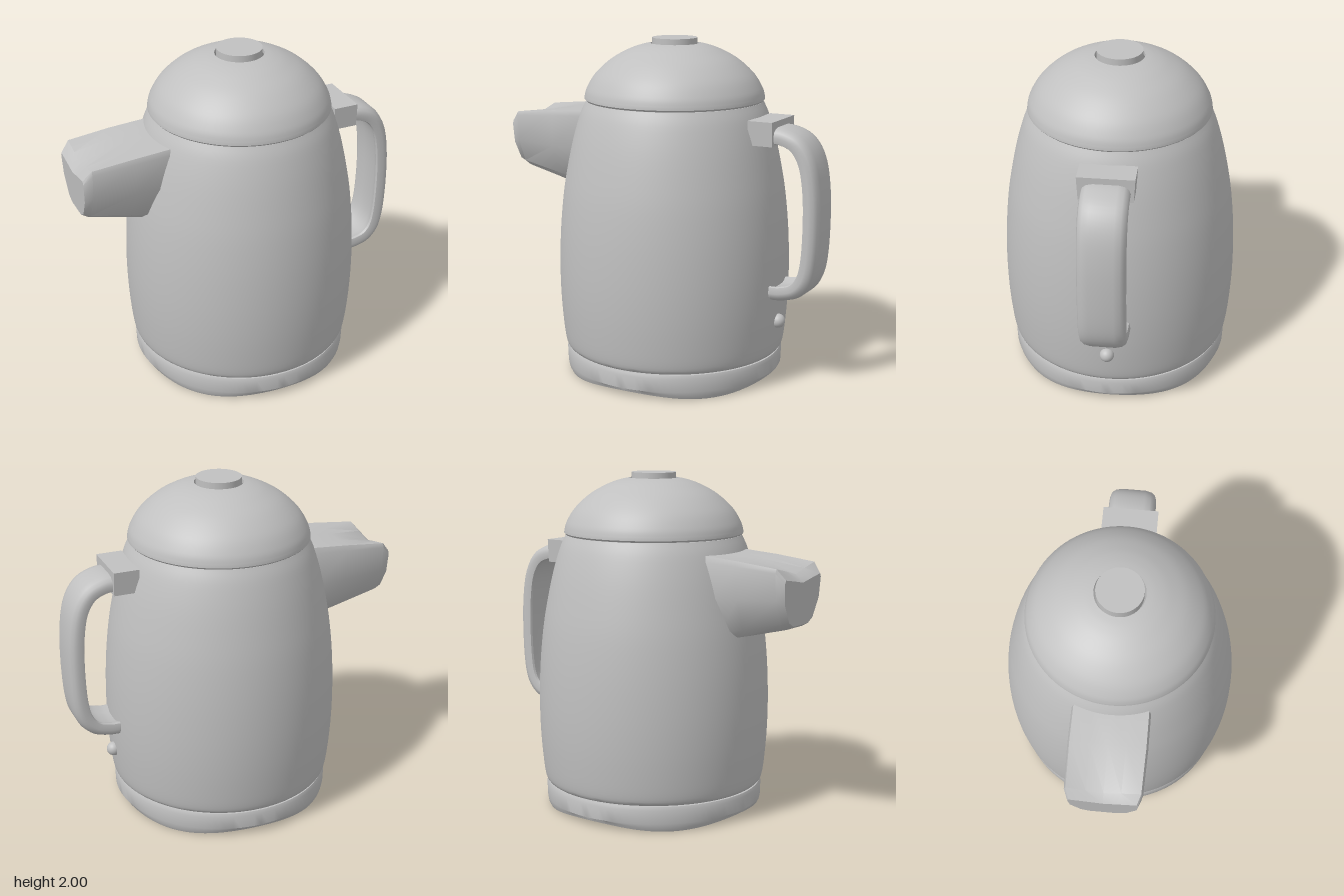
import * as THREE from 'three';
import { toCreasedNormals } from 'three/addons/utils/BufferGeometryUtils.js';

const AXIS = 0.025; // x of the body's axis
const V2 = (p) => new THREE.Vector2(p[0], p[1]);

// Smooth curve through [radius, height] points
const smooth = (pts, n) => new THREE.SplineCurve(pts.map(V2)).getPoints(n);

// Skin a list of closed rings and cap both ends
function loft(rings, crease) {
  const n = rings[0].length, pos = [], idx = [];
  rings.forEach((r) => r.forEach((p) => pos.push(p.x, p.y, p.z)));
  for (let j = 0; j < rings.length - 1; j++) {
    for (let i = 0; i < n; i++) {
      const k = (i + 1) % n, a = j * n + i, b = j * n + k;
      idx.push(a, b, a + n, b, b + n, a + n);
    }
  }
  [0, rings.length - 1].forEach((j) => {
    const c = new THREE.Vector3();
    rings[j].forEach((p) => c.addScaledVector(p, 1 / n));
    const m = pos.length / 3;
    pos.push(c.x, c.y, c.z);
    for (let i = 0; i < n; i++) {
      const a = j * n + i, b = j * n + (i + 1) % n;
      if (j === 0) idx.push(m, b, a);
      else idx.push(m, a, b);
    }
  });
  const g = new THREE.BufferGeometry();
  g.setAttribute('position', new THREE.Float32BufferAttribute(pos, 3));
  g.setIndex(idx);
  return toCreasedNormals(g, crease);
}

export function createModel() {
  const group = new THREE.Group();
  const grey = new THREE.MeshStandardMaterial({ color: 0xc0c0c0 });
  grey.name = 'grey';

  const add = (name, geometry, x = 0, y = 0, z = 0) => {
    const mesh = new THREE.Mesh(geometry, grey);
    mesh.name = name;
    mesh.position.set(x, y, z);
    group.add(mesh);
    return mesh;
  };
  const turned = (pts) => new THREE.LatheGeometry(pts, 96);

  // Base ring, open underneath, its lower edge waved into four feet
  const base = turned([
    [0.58, 0.15], [0.625, 0.004], [0.635, 0], [0.645, 0.02], [0.65, 0.05],
    [0.653, 0.13], [0.645, 0.15], [0.58, 0.15],
  ].map(V2));
  const bp = base.attributes.position;
  for (let i = 0; i < bp.count; i++) {
    if (bp.getY(i) > 0.03) continue;
    const a = Math.atan2(bp.getX(i), bp.getZ(i));
    bp.setY(i, bp.getY(i) + 0.015 * (1 + Math.cos(4 * a)));
  }
  add('baseRing', toCreasedNormals(base, 0.7), AXIS);

  // Hollow body
  const outer = smooth([
    [0.64, 0.155], [0.658, 0.18], [0.672, 0.27], [0.686, 0.45], [0.69, 0.65], [0.682, 0.87],
    [0.662, 1.08], [0.634, 1.25], [0.597, 1.42], [0.555, 1.56], [0.52, 1.635],
  ], 40);
  const inner = outer.map((p) => new THREE.Vector2(p.x - 0.03, p.y)).reverse();
  inner.push(V2([0.58, 0.152]));
  add('body', toCreasedNormals(turned([...outer, ...inner, outer[0]]), 0.7), AXIS);

  // Domed lid with a round opening for the button
  const dome = smooth([
    [0.53, 1.66], [0.515, 1.71], [0.465, 1.79], [0.375, 1.872], [0.275, 1.928], [0.2, 1.955], [0.142, 1.967],
  ], 28);
  const under = dome.map((p) => new THREE.Vector2(Math.max(0.142, p.x - 0.02), p.y - 0.02)).reverse();
  const lid = [V2([0.5, 1.635]), V2([0.522, 1.637]), V2([0.531, 1.647]), ...dome, ...under, V2([0.5, 1.635])];
  add('lid', toCreasedNormals(turned(lid), 0.7), AXIS);

  // Lid button, standing free in the opening
  add('lidButton', new THREE.CylinderGeometry(0.132, 0.132, 0.06, 64), AXIS, 1.97);

  // Spout: [height fraction, width fraction] section with a dip along the top
  const station = ([xTop, xBottom, top, bottom, w, dip]) => [
    [1, 0.95], [1 - dip * 0.5, 0.45], [1 - dip, 0], [1 - dip * 0.5, -0.45], [1, -0.95],
    [0.93, -1], [0.5, -0.95], [0.1, -0.65], [0, -0.4], [0, 0.4], [0.1, 0.65], [0.5, 0.95], [0.93, 1],
  ].map(([u, v]) => new THREE.Vector3(
    xBottom + (xTop - xBottom) * u, bottom + (top - bottom) * u, v * w));
  add('spout', loft([
    [-0.48, -0.56, 1.56, 1.075, 0.22, 0],
    [-0.7, -0.7, 1.545, 1.108, 0.222, 0],
    [-0.95, -0.95, 1.52, 1.17, 0.216, 0.14],
    [-1, -0.988, 1.46, 1.19, 0.195, 0.12],
  ].map(station), 0.6));

  // Handle: section swept down a bowed path, with a shallow hollow inside
  const path = new THREE.SplineCurve([
    [0.68, 1.487], [0.76, 1.483], [0.85, 1.44], [0.91, 1.34], [0.938, 1.18], [0.944, 0.98],
    [0.934, 0.78], [0.907, 0.665], [0.85, 0.598], [0.77, 0.572], [0.705, 0.568],
  ].map(V2));
  const section = [
    [0.046, -0.07], [0.046, 0.07], [0.038, 0.105], [0.022, 0.127], [-0.005, 0.136], [-0.04, 0.128],
    [-0.045, 0.115], [-0.025, 0.06], [-0.025, -0.06], [-0.045, -0.115], [-0.04, -0.128],
    [-0.005, -0.136], [0.022, -0.127], [0.038, -0.105],
  ];
  const rings = [];
  for (let j = 0; j <= 48; j++) {
    const p = path.getPoint(j / 48), t = path.getTangent(j / 48);
    rings.push(section.map(([n, z]) => new THREE.Vector3(p.x - t.y * n, p.y + t.x * n, z)));
  }
  const handle = loft(rings, 0.65);
  add('handle', handle);

  // Bracket joining handle and body, narrower at the bottom
  const bracket = new THREE.BoxGeometry(0.15, 0.14, 0.32);
  const kp = bracket.attributes.position;
  for (let i = 0; i < kp.count; i++) {
    if (kp.getY(i) < 0) kp.setZ(i, kp.getZ(i) * 0.95);
  }
  bracket.computeVertexNormals();
  add('handleBracket', bracket, 0.645, 1.5);

  // Small round indicator below the handle
  add('indicator', new THREE.SphereGeometry(0.042, 24, 16), 0.712, 0.373);

  return group;
}
